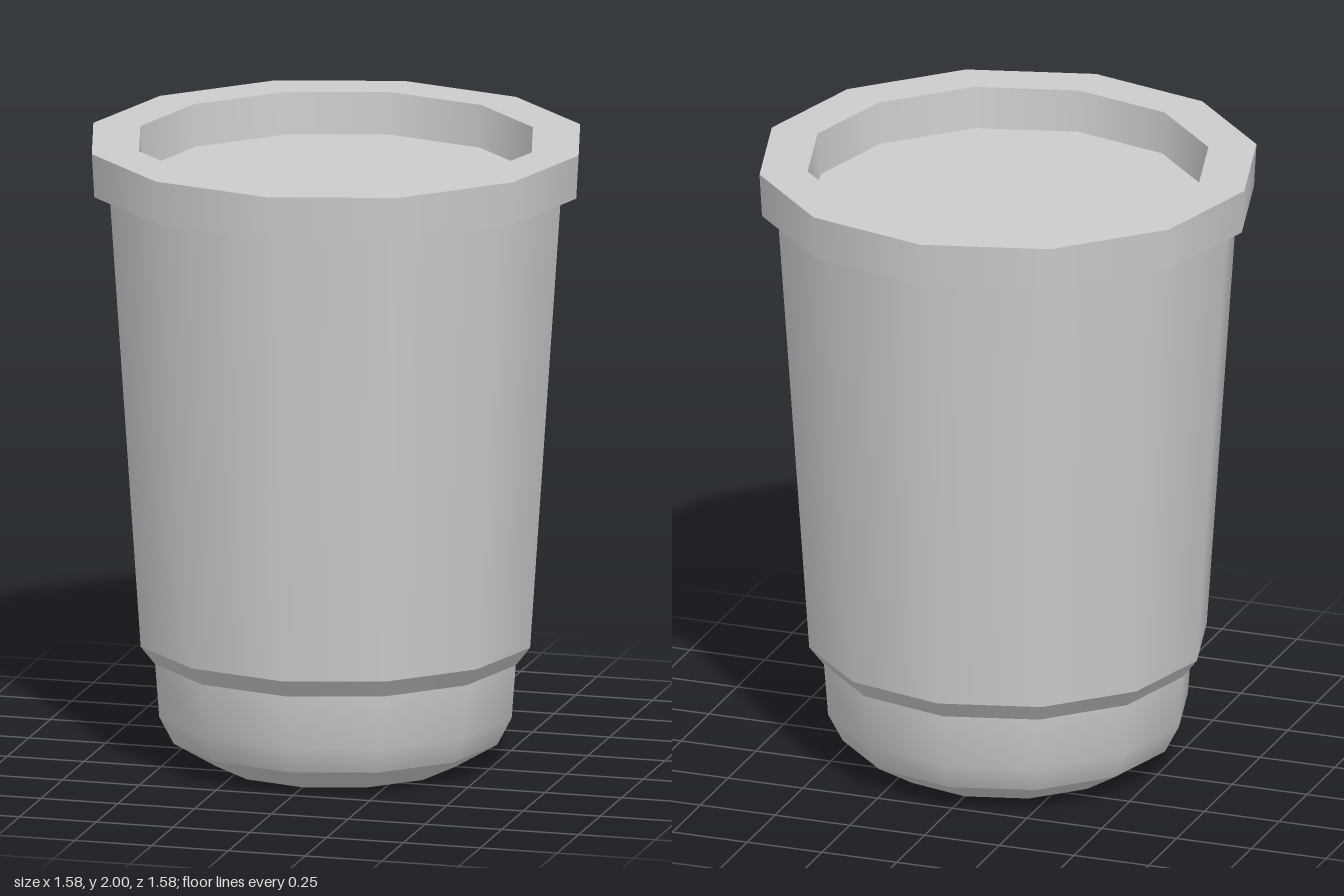
import * as THREE from 'three';

const SIDES = 12;

export function createModel() {
  const cup = new THREE.Group();
  cup.name = 'cup';
  const material = new THREE.MeshStandardMaterial({ color: 0xcccccc });

  // One smooth band turned around y; separate bands meet in sharp edges.
  function band(name, ...profile) {
    const points = profile.map(([r, y]) => new THREE.Vector2(r, y));
    const mesh = new THREE.Mesh(new THREE.LatheGeometry(points, SIDES), material);
    mesh.name = name;
    cup.add(mesh);
  }

  // Foot, from the underside up
  band('underside', [0, 0], [0.39, 0]);
  band('footChamfer', [0.39, 0], [0.525, 0.08]);
  band('foot', [0.525, 0.08], [0.572, 0.17], [0.585, 0.34]);

  // Body
  band('shoulderStep', [0.585, 0.34], [0.632, 0.4]);
  band('wall', [0.632, 0.4], [0.732, 1.86]);

  // Rim
  band('rimUnderside', [0.732, 1.86], [0.782, 1.86]);
  band('rimSide', [0.782, 1.86], [0.79, 2]);
  band('rimTop', [0.79, 2], [0.637, 2]);

  // Shallow recess in the lid
  band('recessWall', [0.637, 2], [0.627, 1.865]);
  band('recessFloor', [0.627, 1.865], [0, 1.865]);

  return cup;
}
